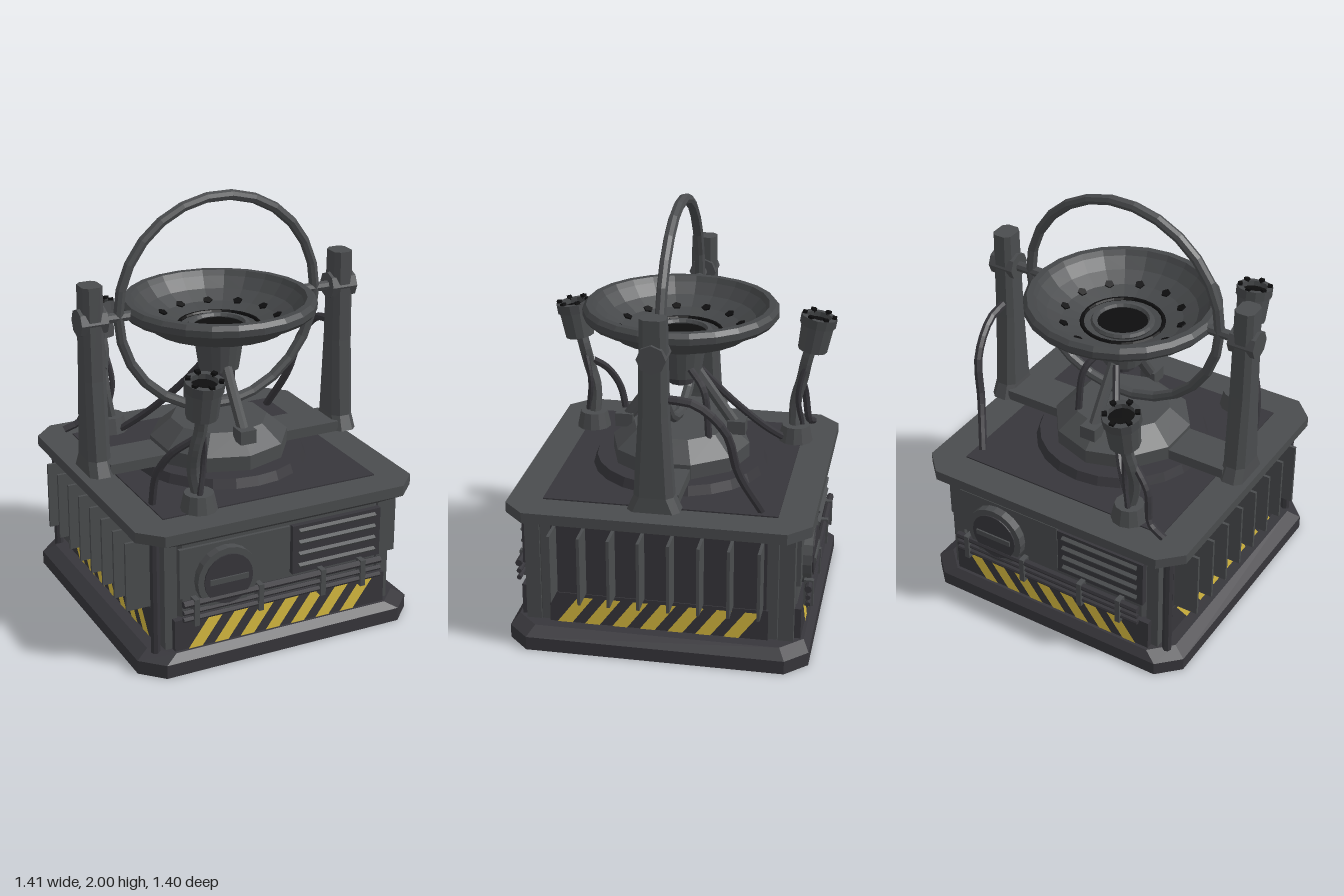
import * as THREE from 'three';

const mat = (color, side = THREE.FrontSide) =>
  new THREE.MeshStandardMaterial({ color, flatShading: true, side });
const MAIN = mat(0x4a4c4e), DARK = mat(0x37363b), BLACK = mat(0x0d0d0e);
const YELLOW = mat(0xd8bb40), DISH = mat(0x454749, THREE.DoubleSide);
const V = (x, y, z) => new THREE.Vector3(x, y, z);

function add(parent, name, geometry, material, x = 0, y = 0, z = 0) {
  const m = new THREE.Mesh(geometry, material);
  m.name = name;
  m.position.set(x, y, z);
  parent.add(m);
  return m;
}
const box = (p, name, m, w, h, d, x, y, z) => add(p, name, new THREE.BoxGeometry(w, h, d), m, x, y, z);
const cyl = (p, name, m, rTop, rBottom, h, n, x, y, z) =>
  add(p, name, new THREE.CylinderGeometry(rTop, rBottom, h, n), m, x, y, z);
const tube = (p, name, m, pts, r, n = 14) =>
  add(p, name, new THREE.TubeGeometry(new THREE.CatmullRomCurve3(pts), n, r, 7), m);

// Straight bar between two points
function bar(p, name, m, a, b, r, n = 8) {
  const d = b.clone().sub(a);
  const mesh = cyl(p, name, m, r, r, d.length(), n, 0, 0, 0);
  mesh.position.copy(a).addScaledVector(d, 0.5);
  mesh.quaternion.setFromUnitVectors(V(0, 1, 0), d.normalize());
  return mesh;
}

// Solid with corner-cut rectangular sections; each level is [y, halfX, halfZ, cut]
function loft(levels) {
  const rings = levels.map(([y, a, b, c]) => [
    [-a + c, b], [a - c, b], [a, b - c], [a, -b + c],
    [a - c, -b], [-a + c, -b], [-a, -b + c], [-a, b - c],
  ].map(([x, z]) => [x, y, z]));
  const out = [];
  for (let k = 0; k < rings.length - 1; k++) {
    for (let i = 0; i < 8; i++) {
      const j = (i + 1) % 8, lo = rings[k], hi = rings[k + 1];
      out.push(...lo[i], ...lo[j], ...hi[j], ...lo[i], ...hi[j], ...hi[i]);
    }
  }
  const bottom = rings[0], top = rings[rings.length - 1];
  for (let i = 1; i < 7; i++) {
    out.push(...top[0], ...top[i], ...top[i + 1], ...bottom[0], ...bottom[i + 1], ...bottom[i]);
  }
  const g = new THREE.BufferGeometry();
  g.setAttribute('position', new THREE.Float32BufferAttribute(out, 3));
  g.computeVertexNormals();
  return g;
}

// Hazard plate with slanted stripes, facing +z
function hazardPlate(width, slant) {
  const g = new THREE.Group();
  g.name = 'hazardPlate';
  box(g, 'plate', DARK, width, 0.155, 0.06, 0, 0.173, -0.03);
  for (let i = 0; i < 7; i++) {
    const x = -0.475 + i * 0.13;
    const s = new THREE.Shape([[x, 0.1], [x + 0.07, 0.1], [x + 0.17, 0.235], [x + 0.1, 0.235]]
      .map(([px, py]) => new THREE.Vector2(slant > 0 ? px : -px, py)));
    add(g, 'stripe', new THREE.ShapeGeometry(s), YELLOW, 0, 0, 0.003);
  }
  return g;
}

// Front or back service wall, facing +z
function serviceWall(slant) {
  const g = new THREE.Group();
  g.name = 'serviceWall';
  const plate = hazardPlate(1.08, slant);
  plate.position.z = 0.655;
  g.add(plate);
  box(g, 'hatchPanel', MAIN, 0.55, 0.24, 0.02, -0.235, 0.47, 0.635);
  box(g, 'ventPanel', DARK, 0.46, 0.24, 0.03, 0.28, 0.47, 0.64);
  for (let i = 0; i < 4; i++) {
    box(g, 'louvre', MAIN, 0.4, 0.012, 0.02, 0.28, 0.39 + i * 0.058, 0.66).rotation.x = 0.5;
  }
  cyl(g, 'hatchRing', MAIN, 0.15, 0.15, 0.05, 20, -0.29, 0.425, 0.66).rotation.x = Math.PI / 2;
  cyl(g, 'hatchDisc', DARK, 0.12, 0.12, 0.01, 20, -0.29, 0.425, 0.686).rotation.x = Math.PI / 2;
  box(g, 'hatchHandle', MAIN, 0.19, 0.026, 0.014, -0.29, 0.425, 0.692);
  // Conduits and their clamps
  for (const [y, r] of [[0.338, 0.017], [0.297, 0.012], [0.262, 0.012]]) {
    bar(g, 'conduit', DARK, V(-0.51, y, 0.68), V(0.5, y, 0.68), r, 8);
  }
  for (const x of [-0.45, -0.13, 0.19, 0.4]) {
    box(g, 'clamp', MAIN, 0.025, 0.13, 0.045, x, 0.295, 0.677);
  }
  return g;
}

// Side wall with cooling fins, facing +z before turning
function finWall(slant) {
  const g = new THREE.Group();
  g.name = 'finWall';
  const plate = hazardPlate(1.02, slant);
  plate.position.z = 0.585;
  g.add(plate);
  box(g, 'finBacking', DARK, 1.0, 0.36, 0.02, 0, 0.43, 0.57);
  for (let i = 0; i < 8; i++) {
    box(g, 'fin', MAIN, 0.014, 0.335, 0.14, -0.48 + i * 0.137, 0.425, 0.63);
  }
  return g;
}

// Lamp on a bent stem; s = +1 at the front, -1 at the back
function lamp(s) {
  const g = new THREE.Group();
  g.name = s > 0 ? 'frontLamp' : 'backLamp';
  cyl(g, 'lampFoot', MAIN, 0.068, 0.085, 0.08, 12, -0.35, 0.745, s * 0.51);
  tube(g, 'lampStem', MAIN, [V(-0.35, 0.76, s * 0.505), V(-0.375, 0.9, s * 0.505),
    V(-0.375, 1.02, s * 0.535), V(-0.36, 1.1, s * 0.55), V(-0.365, 1.2, s * 0.575)], 0.03);
  tube(g, 'lampWire', DARK, [V(-0.36, 0.78, s * 0.54), V(-0.33, 0.95, s * 0.52),
    V(-0.365, 1.17, s * 0.57)], 0.014);
  const head = new THREE.Group();
  head.name = 'lampHead';
  cyl(head, 'drum', MAIN, 0.08, 0.072, 0.14, 12, 0, 0.07, 0);
  const profile = [[0.07, 0.13], [0.088, 0.13], [0.088, 0.175], [0.062, 0.175], [0.062, 0.142]];
  add(head, 'lampRim', new THREE.LatheGeometry(profile.map(p => new THREE.Vector2(...p)), 12), DISH);
  cyl(head, 'lens', BLACK, 0.062, 0.062, 0.01, 12, 0, 0.145, 0);
  for (let i = 0; i < 6; i++) {
    const a = i * Math.PI / 3;
    box(head, 'rimBolt', BLACK, 0.022, 0.02, 0.022, 0.072 * Math.sin(a), 0.178, 0.072 * Math.cos(a)).rotation.y = a;
  }
  head.position.set(-0.367, 1.175, s * 0.578);
  head.rotation.x = s * 0.17;
  g.add(head);
  return g;
}

export function createModel() {
  const model = new THREE.Group();
  model.name = 'dishStation';

  // Base, body and deck
  add(model, 'plinth', loft([[0, 0.7, 0.7, 0.1], [0.065, 0.7, 0.7, 0.1], [0.1, 0.64, 0.67, 0.1]]), DARK);
  add(model, 'body', loft([[0.09, 0.57, 0.63, 0.08], [0.64, 0.57, 0.63, 0.08]]), MAIN);
  add(model, 'deck', loft([[0.61, 0.6, 0.64, 0.1], [0.65, 0.7, 0.7, 0.1], [0.7, 0.7, 0.7, 0.1]]), MAIN);
  box(model, 'deckInlay', DARK, 1.08, 0.02, 1.08, 0, 0.696, 0);
  for (const s of [1, -1]) {
    const wall = serviceWall(s);
    wall.rotation.y = s > 0 ? 0 : Math.PI;
    const fins = finWall(s);
    fins.rotation.y = s * Math.PI / 2;
    model.add(wall, fins);
    bar(model, 'cornerPipe', DARK, V(-0.61, 0.09, s * 0.6), V(-0.61, 0.64, s * 0.6), 0.023, 8);
    for (const x of [-1, 1]) box(model, 'cornerPost', MAIN, 0.06, 0.54, 0.07, x * 0.545, 0.365, s * 0.59);
    model.add(lamp(s));
  }

  // Turntable
  cyl(model, 'turntable', DARK, 0.4, 0.42, 0.05, 24, 0, 0.725, 0);
  box(model, 'crossBeam', MAIN, 1.2, 0.05, 0.2, 0, 0.775, 0);
  cyl(model, 'hubSkirt', MAIN, 0.33, 0.33, 0.07, 10, 0, 0.785, 0);
  cyl(model, 'hubCone', MAIN, 0.23, 0.33, 0.085, 10, 0, 0.8625, 0);

  // Side arms with pivots
  const armShape = loft([[0.75, 0.06, 0.12, 0.03], [0.82, 0.055, 0.09, 0.03],
    [1.2, 0.052, 0.066, 0.025], [1.64, 0.048, 0.058, 0.022]]);
  for (const s of [-1, 1]) {
    add(model, s > 0 ? 'leftArm' : 'rightArm', armShape, MAIN, s * 0.64, 0, 0);
    cyl(model, 'pivotCap', MAIN, 0.065, 0.065, 0.13, 8, s * 0.64, 1.47, 0).rotation.z = Math.PI / 2;
    bar(model, 'axle', MAIN, V(s * 0.43, 1.47, 0), V(s * 0.64, 1.47, 0), 0.024);
  }
  add(model, 'hoop', new THREE.TorusGeometry(0.505, 0.025, 8, 26), MAIN, 0, 1.47, 0);

  // Dish, its rings and its stem
  const dish = [[0.1, 1.31], [0.2, 1.322], [0.32, 1.36], [0.39, 1.43], [0.44, 1.43], [0.457, 1.45],
    [0.457, 1.48], [0.44, 1.5], [0.41, 1.5], [0.395, 1.475], [0.35, 1.425], [0.28, 1.385], [0.2, 1.36], [0.12, 1.345]];
  add(model, 'dish', new THREE.LatheGeometry(dish.map(p => new THREE.Vector2(...p)), 24), DISH);
  const ring = (name, r, t, m, y) => {
    add(model, name, new THREE.TorusGeometry(r, t, 6, 24), m, 0, y, 0).rotation.x = Math.PI / 2;
  };
  ring('grooveRing', 0.19, 0.01, BLACK, 1.36);
  ring('throatRing', 0.133, 0.016, MAIN, 1.36);
  cyl(model, 'throat', BLACK, 0.125, 0.125, 0.02, 24, 0, 1.345, 0);
  for (let i = 0; i < 12; i++) {
    const a = Math.PI / 12 + i * Math.PI / 6;
    const hole = cyl(model, 'dishHole', BLACK, 0.023, 0.023, 0.016, 5, 0.28 * Math.sin(a), 1.386, 0.28 * Math.cos(a));
    hole.quaternion.setFromUnitVectors(V(0, 1, 0), V(-0.4 * Math.sin(a), 1, -0.4 * Math.cos(a)).normalize());
  }
  cyl(model, 'dishCup', MAIN, 0.12, 0.095, 0.17, 16, 0, 1.235, 0);
  cyl(model, 'cupNeck', DARK, 0.06, 0.06, 0.05, 12, 0, 1.135, 0);

  // Struts from the cup to the hub
  for (const s of [-1, 1]) {
    bar(model, 'strut', MAIN, V(0, 1.18, s * 0.07), V(0, 0.91, s * 0.26), 0.028);
    box(model, 'strutFoot', MAIN, 0.08, 0.065, 0.085, 0, 0.905, s * 0.27);
  }

  // Cables
  tube(model, 'armCable', DARK, [V(0.635, 1.27, -0.05), V(0.63, 1.25, -0.18), V(0.61, 1.12, -0.31),
    V(0.57, 0.92, -0.36), V(0.5, 0.71, -0.46)], 0.02);
  tube(model, 'frontLampCable', DARK, [V(-0.37, 1.05, 0.52), V(-0.46, 0.97, 0.46),
    V(-0.51, 0.86, 0.41), V(-0.52, 0.71, 0.38)], 0.018);
  tube(model, 'backLampCable', DARK, [V(-0.37, 1.04, -0.52), V(-0.46, 0.92, -0.54),
    V(-0.49, 0.76, -0.56), V(-0.57, 0.72, -0.575)], 0.018);
  tube(model, 'dishCable', DARK, [V(-0.02, 1.17, -0.09), V(-0.1, 1.0, -0.22),
    V(-0.22, 0.82, -0.37), V(-0.33, 0.715, -0.46)], 0.018);
  tube(model, 'hubCable', DARK, [V(0.08, 1.2, -0.06), V(0.13, 1.12, -0.13), V(0.15, 0.88, -0.16)], 0.017);
  return model;
}
